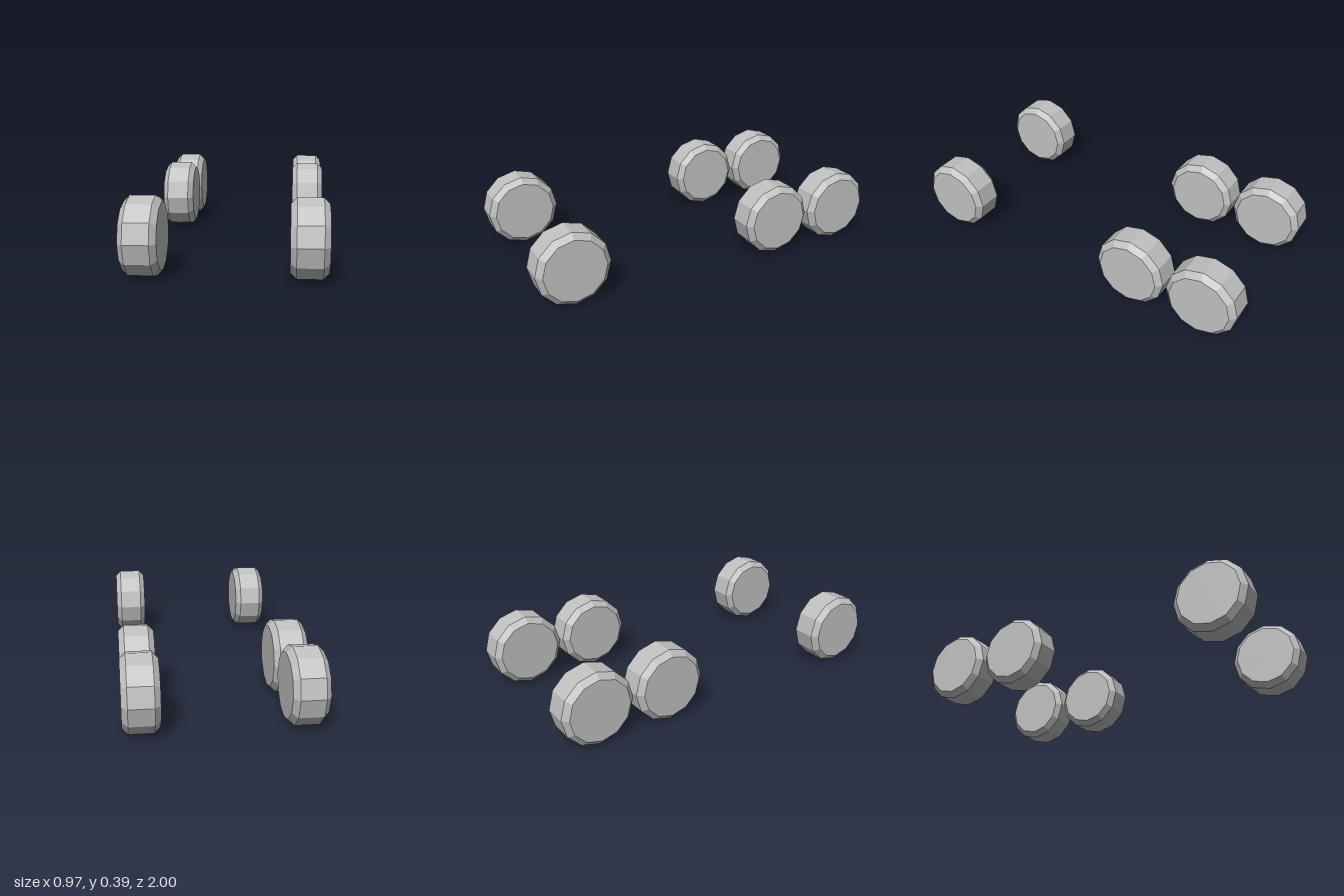
import * as THREE from 'three';

const RADIUS = 0.197;
const TRACK = 0.396; // wheel centre distance from the middle line

// Chamfered twelve-sided drum, closed at both ends, axle along x
function wheelGeometry() {
  const profile = [
    [0, -0.091], [0.167, -0.091], [RADIUS, -0.062],
    [RADIUS, 0.062], [0.167, 0.091], [0, 0.091],
  ].map(([r, h]) => new THREE.Vector2(r, h));
  return new THREE.LatheGeometry(profile, 12).rotateZ(-Math.PI / 2);
}

export function createModel() {
  const model = new THREE.Group();
  model.name = 'wheelSet';

  const rubber = new THREE.MeshStandardMaterial({ color: 0xc0c0c0, flatShading: true });
  rubber.name = 'light grey';

  // One front axle and two closely spaced rear axles
  const axles = { front: 0.803, middle: -0.391, rear: -0.803 };
  const geometry = wheelGeometry();
  for (const [axle, z] of Object.entries(axles)) {
    for (const side of [1, -1]) {
      const wheel = new THREE.Mesh(geometry, rubber);
      wheel.name = axle + (side > 0 ? 'Left' : 'Right') + 'Wheel';
      wheel.position.set(side * TRACK, RADIUS, z);
      model.add(wheel);
    }
  }
  return model;
}
